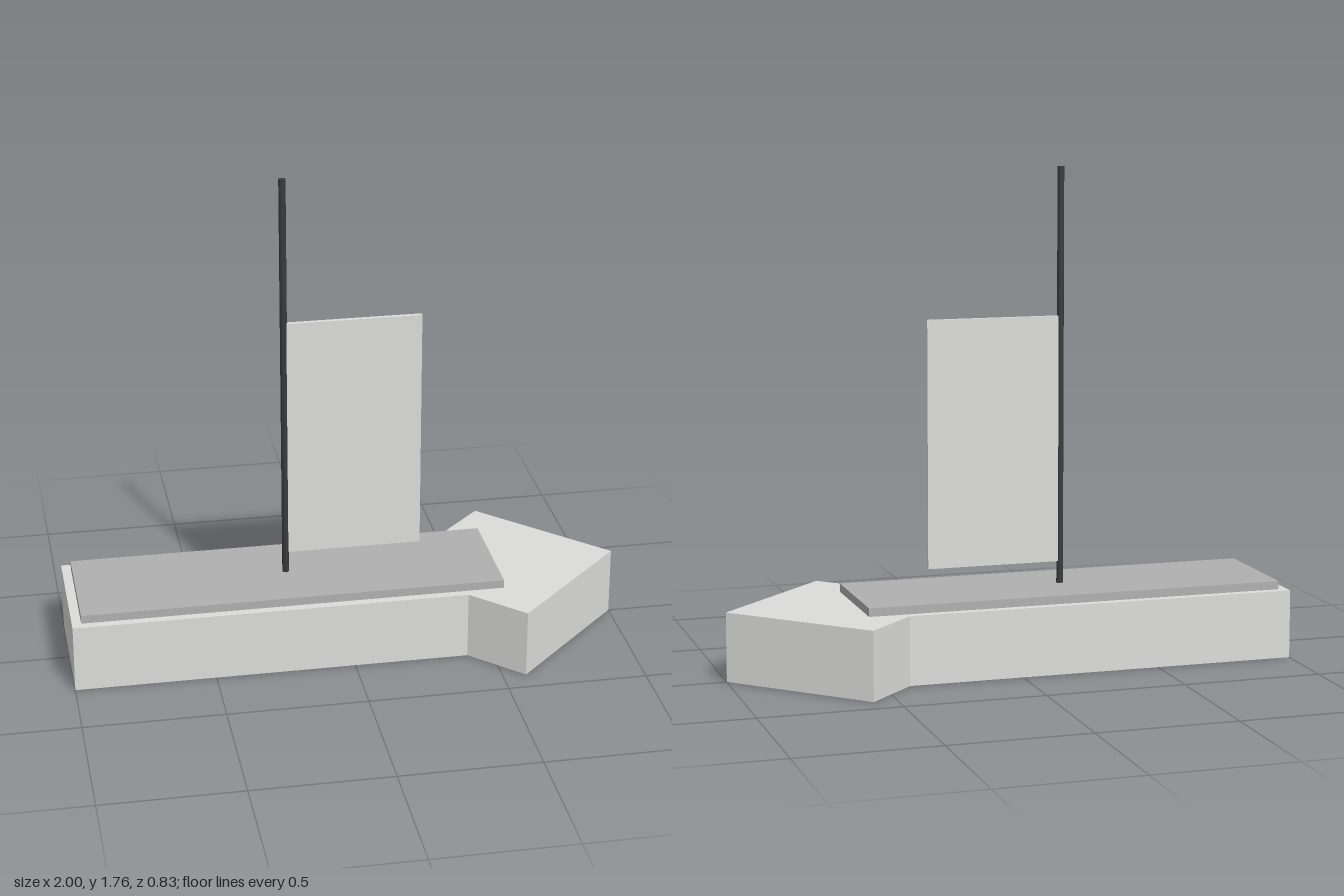
import * as THREE from 'three';

const flat = (name, color) => {
  const m = new THREE.MeshStandardMaterial({ color });
  m.name = name;
  return m;
};

export function createModel() {
  const boat = new THREE.Group();
  boat.name = 'sailboat';

  const paleGrey = flat('pale grey', 0xdcdcda);
  const midGrey = flat('mid grey', 0xb0b0b0);
  const charcoal = flat('charcoal', 0x3a3a3a);

  const add = (name, geometry, material, x, y, z) => {
    const mesh = new THREE.Mesh(geometry, material);
    mesh.name = name;
    mesh.position.set(x, y, z);
    boat.add(mesh);
    return mesh;
  };

  // Hull: straight body that flares into an arrow-shaped bow
  const half = [[-1, 0.243], [0.409, 0.243], [0.583, 0.417]];
  const outline = [
    ...half.map(([x, z]) => [x, -z]),
    [1, 0],
    ...half.slice().reverse(),
  ].map(([x, z]) => new THREE.Vector2(x, z));
  const hull = new THREE.ExtrudeGeometry(new THREE.Shape(outline), { depth: 0.245, bevelEnabled: false });
  hull.rotateX(-Math.PI / 2);
  add('hull', hull, paleGrey, 0, 0.001, 0);

  // Raised deck
  add('deck', new THREE.BoxGeometry(1.512, 0.032, 0.424), midGrey, -0.211, 0.26, 0);

  // Mast runs through the deck and hull to the underside
  add('mast', new THREE.CylinderGeometry(0.0125, 0.0125, 1.76, 8), charcoal, -0.211, 0.88, 0);

  // Sail attached to the mast
  add('sail', new THREE.BoxGeometry(0.488, 0.88, 0.016), paleGrey, 0.034, 0.795, 0);

  return boat;
}
